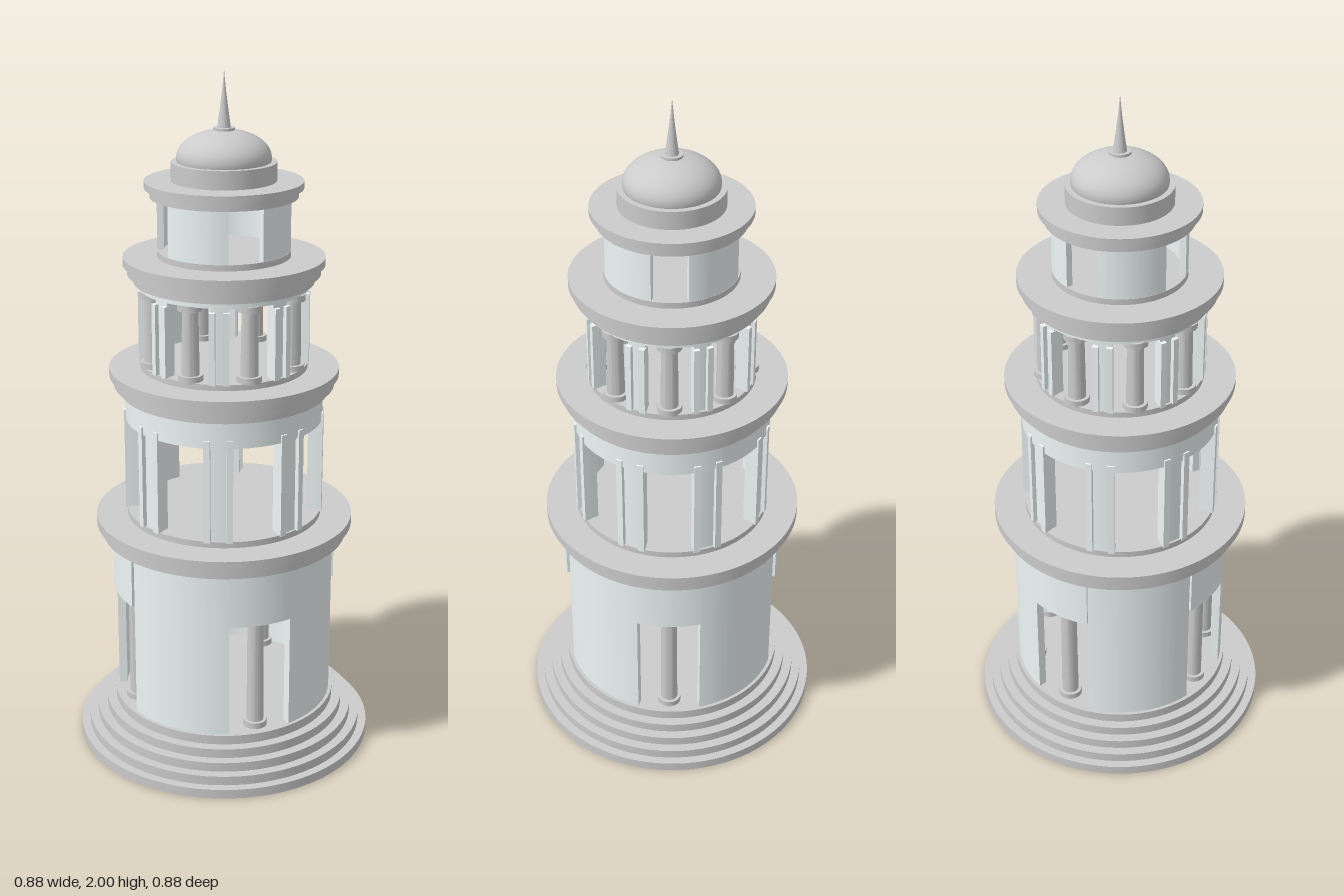
import * as THREE from 'three';
import { toCreasedNormals } from 'three/addons/utils/BufferGeometryUtils.js';

const stone = new THREE.MeshStandardMaterial({ color: 0xcccccc });
const plaster = new THREE.MeshStandardMaterial({ color: 0xeef6f6 });
const rad = THREE.MathUtils.degToRad;

export function createModel() {
  const tower = new THREE.Group();
  tower.name = 'tower';

  function add(name, geometry, material = stone, parent = tower) {
    const mesh = new THREE.Mesh(geometry, material);
    mesh.name = name;
    parent.add(mesh);
    return mesh;
  }

  function disc(name, radius, y0, y1) {
    add(name, new THREE.CylinderGeometry(radius, radius, y1 - y0, 96).translate(0, (y0 + y1) / 2, 0));
  }

  // Curved wall block between two radii, centred on an angle in degrees
  function sector(name, inner, outer, y0, y1, centre, halfAngle, material = plaster) {
    const a = rad(centre - halfAngle), b = rad(centre + halfAngle);
    const shape = new THREE.Shape();
    shape.absarc(0, 0, outer, a, b, false);
    shape.absarc(0, 0, inner, b, a, true);
    const segments = Math.max(4, Math.ceil(halfAngle / 2));
    const geometry = new THREE.ExtrudeGeometry(shape, { depth: y1 - y0, bevelEnabled: false, curveSegments: segments });
    geometry.rotateX(-Math.PI / 2).translate(0, y0, 0);
    add(name, toCreasedNormals(geometry, rad(35)), material);
  }

  // Full circular band with a hollow middle
  function ring(name, inner, outer, y0, y1, material = plaster) {
    const p = [[inner, y0], [outer, y0], [outer, y1], [inner, y1], [inner, y0]];
    const geometry = new THREE.LatheGeometry(p.map(([x, y]) => new THREE.Vector2(x, y)), 96);
    add(name, toCreasedNormals(geometry, rad(35)), material);
  }

  // Eight round columns with a square-edged base and capital
  function columns(name, distance, radius, y0, y1) {
    const w = radius * 1.4, h = 0.018;
    const profile = [[0, y0], [w, y0], [w, y0 + h], [radius, y0 + h], [radius * 0.9, y1 - h], [w, y1 - h], [w, y1], [0, y1]];
    const geometry = toCreasedNormals(
      new THREE.LatheGeometry(profile.map(([x, y]) => new THREE.Vector2(x, y)), 20), rad(35));
    for (let i = 0; i < 8; i++) {
      const a = i * Math.PI / 4;
      add(name, geometry, stone).position.set(Math.sin(a) * distance, 0, Math.cos(a) * distance);
    }
  }

  // Eight piers, each with a pair of pilaster strips
  function piers(name, inner, outer, y0, y1, halfAngle, stripTop, stripWidth) {
    for (let i = 0; i < 8; i++) {
      const centre = 22.5 + i * 45;
      sector(name, inner, outer - 0.008, y0, y1, centre, halfAngle - 0.5);
      for (const side of [-1, 1]) {
        const strip = new THREE.BoxGeometry(stripWidth, stripTop - y0, 0.02);
        strip.translate(0, (y0 + stripTop) / 2, outer - 0.006);
        const offset = halfAngle - THREE.MathUtils.radToDeg(stripWidth / 2 / outer);
        strip.rotateY(rad(centre + side * offset));
        add(name + 'Pilaster', strip, plaster);
      }
    }
  }

  // Stepped base
  [0.44, 0.415, 0.388, 0.36, 0.332].forEach((r, i) => disc('baseStep', r, i * 0.028, (i + 1) * 0.028));

  // Ground storey: four curved walls, lintels over the openings, columns
  for (let i = 0; i < 4; i++) {
    sector('groundWall', 0.298, 0.322, 0.125, 0.66, 45 + i * 90, 45 - 16.8);
    sector('groundLintel', 0.298, 0.33, 0.487, 0.655, i * 90, 16.8);
  }
  columns('groundColumn', 0.275, 0.025, 0.14, 0.66);
  disc('groundCorniceLower', 0.36, 0.655, 0.687);
  disc('groundCorniceUpper', 0.377, 0.687, 0.715);

  // Second storey: paired pilasters below a plain frieze
  disc('secondFloor', 0.285, 0.715, 0.733);
  piers('secondPier', 0.247, 0.286, 0.73, 1.03, 8.3, 1.035, 0.019);
  ring('secondFrieze', 0.25, 0.285, 1.012, 1.095);
  disc('secondCorniceLower', 0.298, 1.09, 1.113);
  disc('secondCorniceMiddle', 0.317, 1.113, 1.142);
  disc('secondCorniceUpper', 0.33, 1.142, 1.165);

  // Third storey: piers alternating with columns
  disc('thirdFloor', 0.24, 1.165, 1.182);
  piers('thirdPier', 0.205, 0.24, 1.18, 1.4, 6.7, 1.385, 0.017);
  columns('thirdColumn', 0.212, 0.025, 1.18, 1.4);
  ring('thirdFrieze', 0.18, 0.24, 1.398, 1.418);
  disc('thirdCorniceLower', 0.256, 1.415, 1.438);
  disc('thirdCorniceMiddle', 0.273, 1.438, 1.465);
  disc('thirdCorniceUpper', 0.285, 1.465, 1.488);

  // Lantern: four curved walls with open bays
  disc('lanternFloor', 0.188, 1.488, 1.505);
  for (let i = 0; i < 4; i++) sector('lanternWall', 0.168, 0.187, 1.49, 1.66, 45 + i * 90, 45 - 15.5);
  disc('lanternCorniceLower', 0.207, 1.655, 1.68);
  disc('lanternCorniceUpper', 0.222, 1.68, 1.7);

  // Dome on its drum
  disc('domeDrum', 0.147, 1.7, 1.752);
  const dome = new THREE.SphereGeometry(0.132, 48, 24, 0, Math.PI * 2, 0, Math.PI * 0.6);
  add('dome', dome.scale(1, 0.59, 1).translate(0, 1.762, 0));

  // Finial with a slender concave spire
  disc('finialBase', 0.03, 1.828, 1.845);
  const spire = [[0.019, 1.843], [0.013, 1.885], [0.006, 1.94], [0, 2]];
  add('spire', new THREE.LatheGeometry(spire.map(([x, y]) => new THREE.Vector2(x, y)), 24));

  return tower;
}
